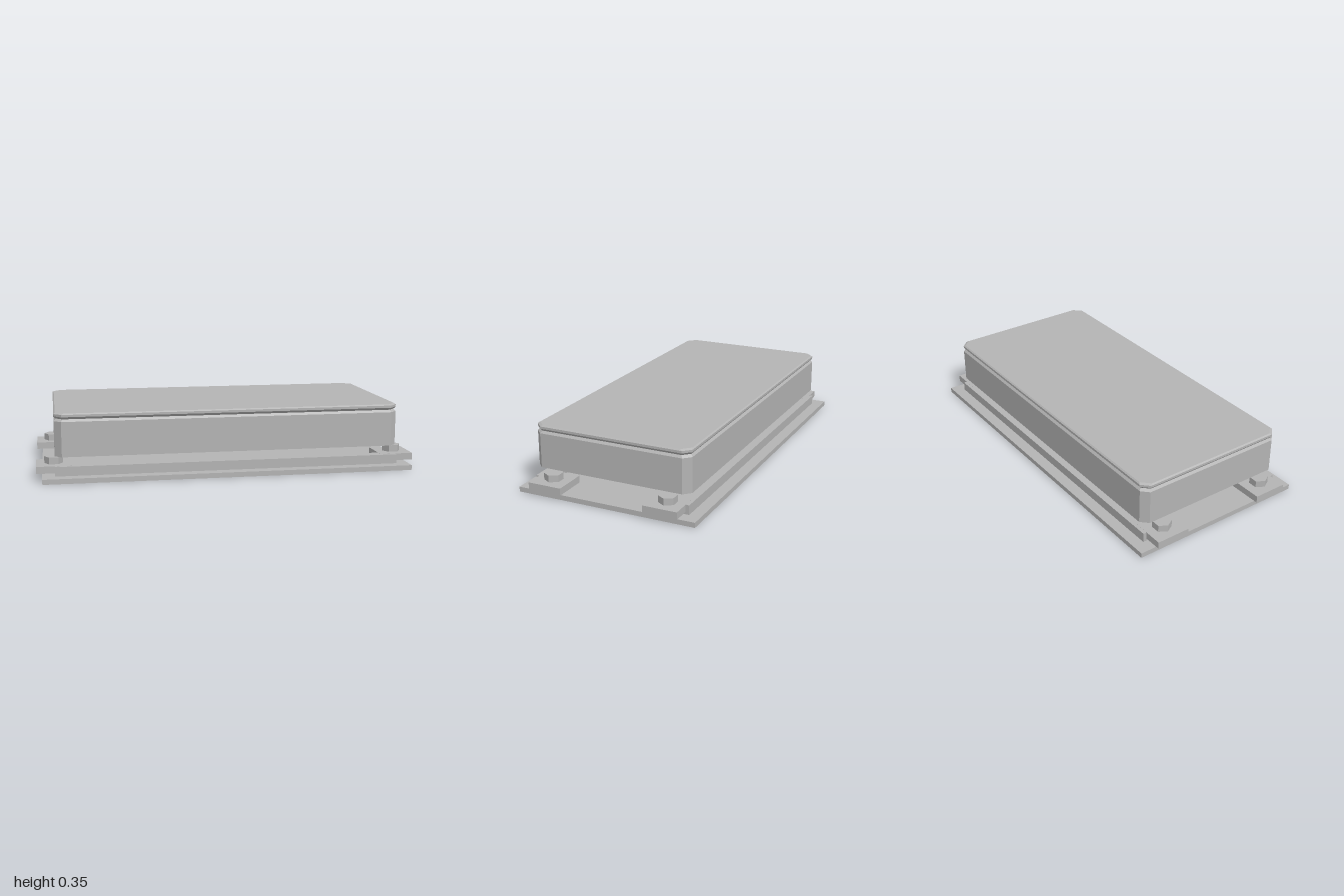
import * as THREE from 'three';

const grey = new THREE.MeshStandardMaterial({ color: 0xb4b4b4 });
grey.name = 'grey metal';

// Octagonal ring: half sizes hx, hz with corners cut by c, at height y
function ring([hx, hz, c, y]) {
  return [
    [hx, hz - c], [hx, -hz + c], [hx - c, -hz], [-hx + c, -hz],
    [-hx, -hz + c], [-hx, hz - c], [-hx + c, hz], [hx - c, hz],
  ].map(([x, z]) => new THREE.Vector3(x, y, z));
}

// Closed solid lofted through octagonal rings, bottom to top, with flat faces
function loft(sections) {
  const rings = sections.map(ring);
  const points = [];
  for (let i = 0; i < rings.length - 1; i++) {
    for (let j = 0; j < 8; j++) {
      const k = (j + 1) % 8;
      const a = rings[i][j], b = rings[i][k], c = rings[i + 1][k], d = rings[i + 1][j];
      points.push(a, b, c, a, c, d);
    }
  }
  const low = rings[0], top = rings[rings.length - 1];
  for (let j = 1; j < 7; j++) {
    points.push(low[0], low[j + 1], low[j]);
    points.push(top[0], top[j], top[j + 1]);
  }
  const geometry = new THREE.BufferGeometry().setFromPoints(points);
  geometry.computeVertexNormals();
  return geometry;
}

export function createModel() {
  const model = new THREE.Group();
  const add = (name, geometry, x = 0, y = 0, z = 0) => {
    const mesh = new THREE.Mesh(geometry, grey);
    mesh.name = name;
    mesh.position.set(x, y, z);
    model.add(mesh);
  };
  const box = (name, x, z, y0, y1, w, d) =>
    add(name, new THREE.BoxGeometry(w, y1 - y0, d), x, (y0 + y1) / 2, z);

  box('basePlate', 0, 0, 0, 0.026, 1.94, 0.97);

  // Enclosure body with a bevelled rim
  add('body', loft([
    [0.905, 0.425, 0.036, 0.124],
    [0.905, 0.425, 0.036, 0.305],
    [0.895, 0.415, 0.034, 0.317],
  ]));

  // Lid flaring out above the groove, with a bevelled top
  add('lid', loft([
    [0.895, 0.415, 0.034, 0.317],
    [0.905, 0.425, 0.038, 0.329],
    [0.905, 0.425, 0.038, 0.341],
    [0.898, 0.418, 0.042, 0.347],
  ]));

  // Hexagonal bolt with corners pointing along x
  const bolt = new THREE.CylinderGeometry(0.048, 0.048, 0.036, 6).toNonIndexed();
  bolt.rotateY(Math.PI / 2);
  bolt.computeVertexNormals();

  for (const sz of [1, -1]) {
    const end = sz > 0 ? 'Front' : 'Back';
    box('rail' + end, 0, sz * 0.395, 0.026, 0.075, 1.81, 0.06);
    for (const sx of [1, -1]) {
      const corner = end + (sx > 0 ? 'Left' : 'Right');
      box('mountingTab' + corner, sx * 0.91, sz * 0.316, 0.039, 0.0755, 0.18, 0.182);
      add('bolt' + corner, bolt, sx * 0.91, 0.093, sz * 0.317);
    }
  }
  return model;
}
